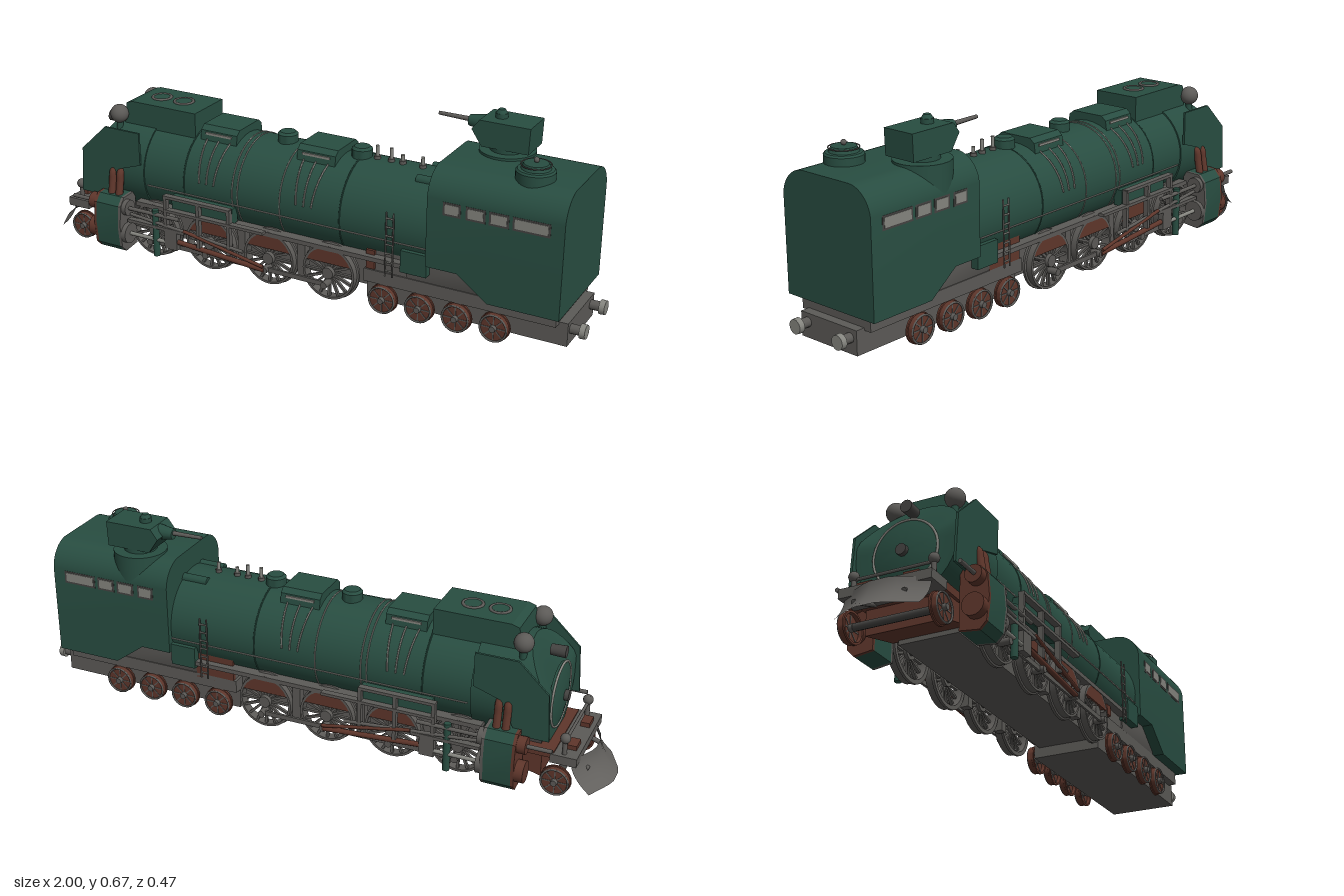
import * as THREE from 'three';
import { mergeGeometries, toCreasedNormals } from 'three/addons/utils/BufferGeometryUtils.js';

const flat = (name, color, side = THREE.FrontSide) => Object.assign(new THREE.MeshStandardMaterial({ color, side }), { name });
const V = (p) => new THREE.Vector3(...p);

export function createModel() {
  const model = new THREE.Group();
  model.name = 'armouredLocomotive';
  const green = flat('green paint', 0x284d41);
  const grey = flat('frame grey', 0x5c5a57);
  const steel = flat('light steel', 0x85857f);
  const rust = flat('rust red', 0x5f362b);
  const dark = flat('dark iron', 0x444341);
  const plough = flat('plough grey', 0x62605d, THREE.DoubleSide);

  const add = (name, geo, mat, parent = model) => {
    const m = new THREE.Mesh(geo, mat);
    m.name = name;
    parent.add(m);
    return m;
  };
  const box = (name, mat, x0, x1, y0, y1, z0, z1) => add(name, new THREE.BoxGeometry(x1 - x0, y1 - y0, Math.abs(z1 - z0))
    .translate((x0 + x1) / 2, (y0 + y1) / 2, (z0 + z1) / 2), mat);
  // Round bar from a to b, optionally tapered
  const rod = (name, mat, a, b, r, r2 = r, seg = 10) => {
    const A = V(a), B = V(b), d = B.clone().sub(A);
    const g = new THREE.CylinderGeometry(r2, r, d.length(), seg);
    g.applyQuaternion(new THREE.Quaternion().setFromUnitVectors(V([0, 1, 0]), d.normalize()));
    g.translate(...A.add(B).multiplyScalar(0.5).toArray());
    return add(name, g, mat);
  };
  const poly = (pts) => new THREE.Shape(pts.map((p) => new THREE.Vector2(...p)));
  const extrude = (shape, depth) => new THREE.ExtrudeGeometry(shape, { depth, bevelEnabled: false, curveSegments: 12 });
  // Side outline (x, y) extruded over z, and cross-section (-z, y) extruded over x
  const sideSlab = (name, mat, pts, z0, z1) => add(name, extrude(poly(pts), z1 - z0).translate(0, 0, z0), mat);
  const alongX = (name, mat, shape, x0, x1) => add(name, toCreasedNormals(extrude(shape, x1 - x0).rotateY(Math.PI / 2).translate(x0, 0, 0), 0.5), mat);
  const lathe = (pts, seg = 32) => toCreasedNormals(new THREE.LatheGeometry(pts.map((p) => new THREE.Vector2(...p)), seg), 0.6);

  // Boiler with bands
  rod('boiler', green, [-0.58, 0.3, 0], [0.51, 0.3, 0], 0.165, 0.165, 40);
  for (const [x, m] of [[-0.4, green], [-0.21, steel], [-0.19, steel], [-0.03, steel], [0.19, green]])
    add('boilerBand', new THREE.TorusGeometry(0.165, 0.0025, 6, 48).rotateY(Math.PI / 2).translate(x, 0.3, 0), m);

  // Smokebox shroud: cylinder with its upper front raked back
  const nose = new THREE.CylinderGeometry(0.17, 0.17, 0.24, 40).rotateZ(Math.PI / 2).translate(-0.68, 0.3, 0);
  const np = nose.attributes.position;
  for (let i = 0; i < np.count; i++)
    if (np.getX(i) < -0.7) np.setX(i, np.getX(i) + Math.max(0, np.getY(i) - 0.34) * 0.7);
  add('smokeboxShroud', toCreasedNormals(nose.toNonIndexed(), 0.6), green);
  add('smokeboxDoor', lathe([[0.105, 0], [0.105, 0.012], [0.09, 0.016], [0.05, 0.024], [0, 0.026]]).rotateZ(Math.PI / 2).translate(-0.79, 0.275, 0), green);
  add('doorRing', new THREE.TorusGeometry(0.106, 0.004, 8, 40).rotateY(Math.PI / 2).translate(-0.802, 0.275, 0), steel);
  rod('doorLock', dark, [-0.81, 0.275, 0], [-0.83, 0.275, 0], 0.018);
  rod('noseLamp', dark, [-0.76, 0.425, 0], [-0.81, 0.425, 0], 0.018, 0.02, 14);
  for (const s of [1, -1]) {
    add('headlamp', new THREE.SphereGeometry(0.032, 20, 14).translate(-0.7, 0.482, s * 0.1), grey);
    rod('headlampFoot', green, [-0.7, 0.42, s * 0.1], [-0.7, 0.46, s * 0.1], 0.012);
    sideSlab('smokeDeflector', green, [[-0.82, 0.2], [-0.81, 0.36], [-0.71, 0.455], [-0.57, 0.455], [-0.57, 0.34], [-0.66, 0.31], [-0.715, 0.2]], s * 0.171 - 0.004, s * 0.171 + 0.004);
  }

  // Chimney casing, sand boxes and domes along the top
  sideSlab('chimneyCasing', green, [[-0.69, 0.44], [-0.68, 0.52], [-0.655, 0.528], [-0.4, 0.528], [-0.4, 0.44]], -0.085, 0.085);
  for (const x of [-0.59, -0.5]) {
    add('chimneyRim', new THREE.TorusGeometry(0.032, 0.005, 8, 28).rotateX(Math.PI / 2).translate(x, 0.529, 0), grey);
    rod('chimneyMouth', green, [x, 0.51, 0], [x, 0.531, 0], 0.028, 0.028, 24);
  }
  for (const x of [-0.31, 0.06]) {
    alongX('sandBox', green, poly([[-0.085, 0.43], [0.085, 0.43], [0.078, 0.475], [0.06, 0.49], [-0.06, 0.49], [-0.078, 0.475]]), x - 0.07, x + 0.07);
    for (const s of [1, -1]) {
      box('sandBoxHinge', steel, x - 0.05, x + 0.05, 0.462, 0.47, s * 0.078, s * 0.084);
      for (const d of [-0.045, 0, 0.045]) {
        const pts = [0.5, 0.75, 1, 1.25, 1.45].map((a) => V([x + d * (1.2 - a * 0.4), 0.3 + 0.167 * Math.cos(a), s * 0.167 * Math.sin(a)]));
        add('sandPipe', new THREE.TubeGeometry(new THREE.CatmullRomCurve3(pts), 12, 0.003, 5), steel);
      }
    }
  }
  for (const x of [-0.09, 0.185])
    add('steamDome', lathe([[0.034, 0], [0.034, 0.05], [0.026, 0.058], [0, 0.06]], 24).translate(x, 0.44, 0), green);
  for (const [x, h] of [[0.24, 0.51], [0.29, 0.51], [0.33, 0.495], [0.4, 0.5]]) {
    rod('safetyValve', steel, [x, 0.45, 0], [x, h, 0], 0.006);
    rod('valveFoot', grey, [x, 0.45, 0], [x, 0.475, 0], 0.011);
  }
  for (const s of [1, -1]) {
    rod('steamPipe', green, [0.41, 0.45, s * 0.06], [0.51, 0.45, s * 0.06], 0.016);
    rod('seamStrip', steel, [-0.55, 0.268, s * 0.163], [0.5, 0.268, s * 0.163], 0.0025, 0.0025, 6);
  }

  // Armoured cab with rounded roof edges
  const cab = new THREE.Shape();
  cab.moveTo(-0.182, 0.22);
  cab.lineTo(0.182, 0.22);
  cab.lineTo(0.182, 0.455);
  cab.bezierCurveTo(0.178, 0.5, 0.14, 0.538, 0.095, 0.538);
  cab.lineTo(-0.095, 0.538);
  cab.bezierCurveTo(-0.14, 0.538, -0.178, 0.5, -0.182, 0.455);
  alongX('cab', green, cab, 0.5, 0.94);
  sideSlab('cabSkirt', green, [[0.6, 0.225], [0.71, 0.143], [0.94, 0.143], [0.94, 0.225]], -0.182, 0.182);
  for (const s of [1, -1])
    for (const [a, b] of [[0.56, 0.605], [0.635, 0.685], [0.71, 0.76], [0.785, 0.89]]) {
      box('windowFrame', dark, a - 0.007, b + 0.007, 0.406, 0.45, s * 0.18, s * 0.183);
      box('window', steel, a, b, 0.413, 0.444, s * 0.18, s * 0.1845);
    }

  // Gun turret on its barbette
  rod('barbette', green, [0.645, 0.45, -0.092], [0.645, 0.546, -0.092], 0.09, 0.09, 40);
  rod('turretRing', green, [0.645, 0.545, -0.09], [0.645, 0.58, -0.09], 0.056, 0.056, 28);
  sideSlab('turret', green, [[0.58, 0.56], [0.735, 0.56], [0.738, 0.645], [0.57, 0.645], [0.545, 0.612]], -0.147, -0.032);
  rod('cupola', green, [0.62, 0.64, -0.09], [0.62, 0.66, -0.09], 0.02, 0.02, 18);
  rod('cupolaCap', green, [0.62, 0.66, -0.09], [0.62, 0.672, -0.09], 0.018, 0.011, 18);
  rod('gunMantlet', green, [0.57, 0.617, -0.09], [0.515, 0.617, -0.09], 0.027, 0.018, 14);
  rod('gunBarrel', grey, [0.53, 0.62, -0.09], [0.41, 0.622, -0.09], 0.008, 0.006);

  // Observation turret
  add('observationTurret', lathe([[0.061, 0], [0.061, 0.04], [0.056, 0.046], [0.046, 0.047], [0.038, 0.063], [0, 0.064]], 32).translate(0.8, 0.523, 0.072), green);
  add('hatchRail', new THREE.TorusGeometry(0.046, 0.002, 6, 32).rotateX(Math.PI / 2).translate(0.8, 0.582, 0.072), grey);
  add('hatchKnob', new THREE.SphereGeometry(0.009, 12, 8).translate(0.8, 0.596, 0.072), grey);

  // Underframe
  box('mainFrame', grey, -0.66, 0.3, 0.065, 0.17, -0.1, 0.1);
  box('rearFrame', grey, 0.27, 0.95, 0.03, 0.108, -0.118, 0.118);
  box('frameShelf', grey, 0.27, 0.92, 0.1, 0.144, -0.145, 0.145);
  alongX('rearFrameTop', grey, poly([[-0.12, 0.1], [0.12, 0.1], [0.145, 0.15], [0.145, 0.225], [-0.145, 0.225], [-0.145, 0.15]]), 0.42, 0.7);
  box('ashpan', grey, 0.28, 0.43, 0.14, 0.23, -0.13, 0.14);
  box('ashpanCover', rust, 0.28, 0.42, 0.13, 0.23, -0.145, -0.13);
  box('ashpanDoor', rust, 0.28, 0.31, 0.15, 0.215, 0.14, 0.15);
  for (const s of [1, -1]) {
    rod('bufferStem', grey, [0.94, 0.08, s * 0.09], [0.985, 0.08, s * 0.09], 0.016);
    rod('bufferHead', steel, [0.982, 0.08, s * 0.09], [1, 0.08, s * 0.09], 0.024, 0.023, 20);
    box('toolBox', green, 0.41, 0.5, 0.175, 0.25, s * 0.13, s * 0.172);
    for (const x of [0.36, 0.385]) rod('ladderRail', grey, [x, 0.15, s * 0.175], [x, 0.37, s * 0.172], 0.003, 0.003, 6);
    for (let y = 0.17; y < 0.37; y += 0.03) rod('ladderRung', steel, [0.36, y, s * 0.174], [0.385, y, s * 0.174], 0.003, 0.003, 6);
  }

  // Wheel facing +z: spoked, with a counterweight or a solid inner disc
  const wheel = (r, spokes, w, rimMat, weighted, disc) => {
    const g = new THREE.Group(), q = r * 0.86;
    g.name = 'wheel';
    add('rim', lathe([[q, -w], [r, -w], [r, -w * 0.6], [r * 0.94, -w * 0.5], [r * 0.94, w * 0.5], [q, w * 0.5], [q, -w]], 36).rotateX(Math.PI / 2), rimMat, g);
    const bars = [...Array(spokes)].map((_, i) => new THREE.BoxGeometry(r * 0.08, r * 0.75, 0.01)
      .translate(0, r * 0.5, 0).rotateZ((i * 2 * Math.PI) / spokes));
    add('spokes', mergeGeometries(bars), grey, g);
    add('hub', new THREE.CylinderGeometry(r * 0.2, r * 0.26, 0.034, 18).rotateX(Math.PI / 2), grey, g);
    if (disc) {
      add('disc', new THREE.CylinderGeometry(q, q, 0.007, 28).rotateX(Math.PI / 2), rust, g);
      add('tyreFace', new THREE.TorusGeometry(r * 0.88, r * 0.07, 6, 28).translate(0, 0, w * 0.45), grey, g);
    }
    if (weighted) {
      const sh = new THREE.Shape();
      sh.absarc(0, 0, q, 0.4, Math.PI - 0.4, false);
      add('counterweight', extrude(sh, 0.018).translate(0, 0, -0.007), rust, g);
    }
    return g;
  };
  const drivers = [-0.527, -0.302, -0.072, 0.152];
  const place = (x, y, z, s, ...args) => {
    const w = wheel(...args);
    w.position.set(x, y, s * z);
    if (s < 0) w.rotation.y = Math.PI;
    model.add(w);
  };
  for (const s of [1, -1]) {
    drivers.forEach((x, i) => place(x, 0.107, 0.155, s, 0.1, 16, 0.022, grey, i > 0, false));
    for (const x of [0.34, 0.468, 0.596, 0.724]) place(x, 0.051, 0.15, s, 0.05, 8, 0.016, rust, false, true);
    place(-0.842, 0.051, 0.15, s, 0.05, 8, 0.016, rust, false, true);
  }
  for (const x of drivers) rod('axle', dark, [x, 0.107, -0.15], [x, 0.107, 0.15], 0.014);
  rod('leadingAxle', dark, [-0.842, 0.051, -0.15], [-0.842, 0.051, 0.15], 0.012);

  // Cylinders, rods and valve gear on both sides
  for (const s of [1, -1]) {
    const casing = poly([[0.14, 0.03], [0.205, 0.022], [0.227, 0.045], [0.235, 0.12], [0.228, 0.195], [0.205, 0.222], [0.14, 0.225]].map(([z, y]) => [-s * z, y]));
    alongX('cylinderFrontPlate', rust, casing, -0.732, -0.722);
    alongX('cylinderCasing', green, casing, -0.722, -0.632);
    alongX('cylinderRearPlate', grey, casing, -0.632, -0.622);
    for (const [y, r] of [[0.09, 0.036], [0.185, 0.028]]) {
      rod('cylinderFrontCover', rust, [-0.76, y, s * 0.197], [-0.73, y, s * 0.197], r, r, 20);
      rod('cylinderRearCover', grey, [-0.625, y, s * 0.197], [-0.605, y, s * 0.197], r, r, 20);
    }
    rod('valveSpindle', grey, [-0.84, 0.185, s * 0.2], [-0.4, 0.185, s * 0.2], 0.007);
    for (const x of [-0.685, -0.655]) {
      const path = new THREE.CatmullRomCurve3([[x, 0.31, s * 0.15], [x, 0.297, s * 0.172], [x, 0.265, s * 0.178], [x, 0.2, s * 0.19]].map(V));
      add('steamSupply', new THREE.TubeGeometry(path, 14, 0.013, 10), rust);
    }
    rod('pistonRod', steel, [-0.61, 0.09, s * 0.197], [-0.43, 0.09, s * 0.197], 0.007);
    box('crosshead', grey, -0.46, -0.41, 0.07, 0.135, s * 0.182, s * 0.205);
    box('slideBar', grey, -0.61, -0.38, 0.135, 0.146, s * 0.185, s * 0.207);
    rod('mainRod', rust, [-0.43, 0.1, s * 0.194], [-0.072, 0.075, s * 0.194], 0.009);
    rod('eccentricRod', rust, [-0.38, 0.15, s * 0.205], [-0.072, 0.09, s * 0.203], 0.006);
    rod('radiusRod', grey, [-0.6, 0.165, s * 0.2], [-0.15, 0.125, s * 0.2], 0.006);
    box('couplingRod', grey, drivers[0], drivers[3], 0.066, 0.082, s * 0.178, s * 0.186);
    for (const x of drivers) rod('crankPin', grey, [x, 0.074, s * 0.155], [x, 0.074, s * 0.198], 0.012, 0.012, 12);
    // Motion bracket
    box('motionRail', grey, -0.46, -0.07, 0.205, 0.215, s * 0.185, s * 0.207);
    box('motionRail', grey, -0.46, -0.2, 0.255, 0.265, s * 0.185, s * 0.207);
    for (const x of [-0.46, -0.33, -0.21]) box('motionPost', grey, x, x + 0.012, 0.1, 0.262, s * 0.187, s * 0.205);
    box('motionPlate', green, -0.44, -0.2, 0.205, 0.26, s * 0.15, s * 0.182);
    rod('drainPipe', green, [-0.5, 0.03, s * 0.195], [-0.5, 0.2, s * 0.195], 0.012);
    for (const x of [-0.2, 0.03]) box('brakeHanger', grey, x, x + 0.028, 0.05, 0.2, s * 0.12, s * 0.15);
    box('valance', grey, -0.6, 0.42, 0.185, 0.2, s * 0.1, s * 0.168);
  }

  // Front platform with posts and boxes
  box('frontBeam', grey, -0.905, -0.82, 0.115, 0.145, -0.15, 0.15);
  box('frontDeck', rust, -0.83, -0.72, 0.125, 0.15, -0.14, 0.14);
  sideSlab('frontTruck', rust, [[-0.79, 0.045], [-0.64, 0.085], [-0.64, 0.14], [-0.79, 0.14]], -0.13, 0.13);
  box('frontSaddle', dark, -0.78, -0.6, 0.13, 0.24, -0.11, 0.11);
  for (const s of [1, -1]) {
    rod('frontPost', grey, [-0.86, 0.14, s * 0.13], [-0.86, 0.215, s * 0.13], 0.008);
    add('markerLamp', new THREE.SphereGeometry(0.017, 12, 8).translate(-0.86, 0.2, s * 0.13), grey);
    box('frontLocker', rust, -0.89, -0.86, 0.145, 0.16, s * 0.05, s * 0.1);
    rod('ploughStay', grey, [-0.93, 0.08, s * 0.08], [-0.82, 0.12, s * 0.08], 0.008);
  }
  rod('frontRail', grey, [-0.86, 0.19, -0.13], [-0.86, 0.19, 0.13], 0.005);

  // Snow plough: curved sheet swept back at both ends
  const sheet = new THREE.PlaneGeometry(0.28, 1, 10, 8);
  const sp = sheet.attributes.position;
  for (let i = 0; i < sp.count; i++) {
    const z = sp.getX(i), v = sp.getY(i) + 0.5;
    sp.setXYZ(i, -1 + 0.065 * (1 - (1 - v) ** 2) + Math.max(0, Math.abs(z) - 0.04) * 0.5, 0.022 + 0.108 * v, z);
  }
  sheet.computeVertexNormals();
  add('snowPlough', sheet, plough);
  return model;
}
